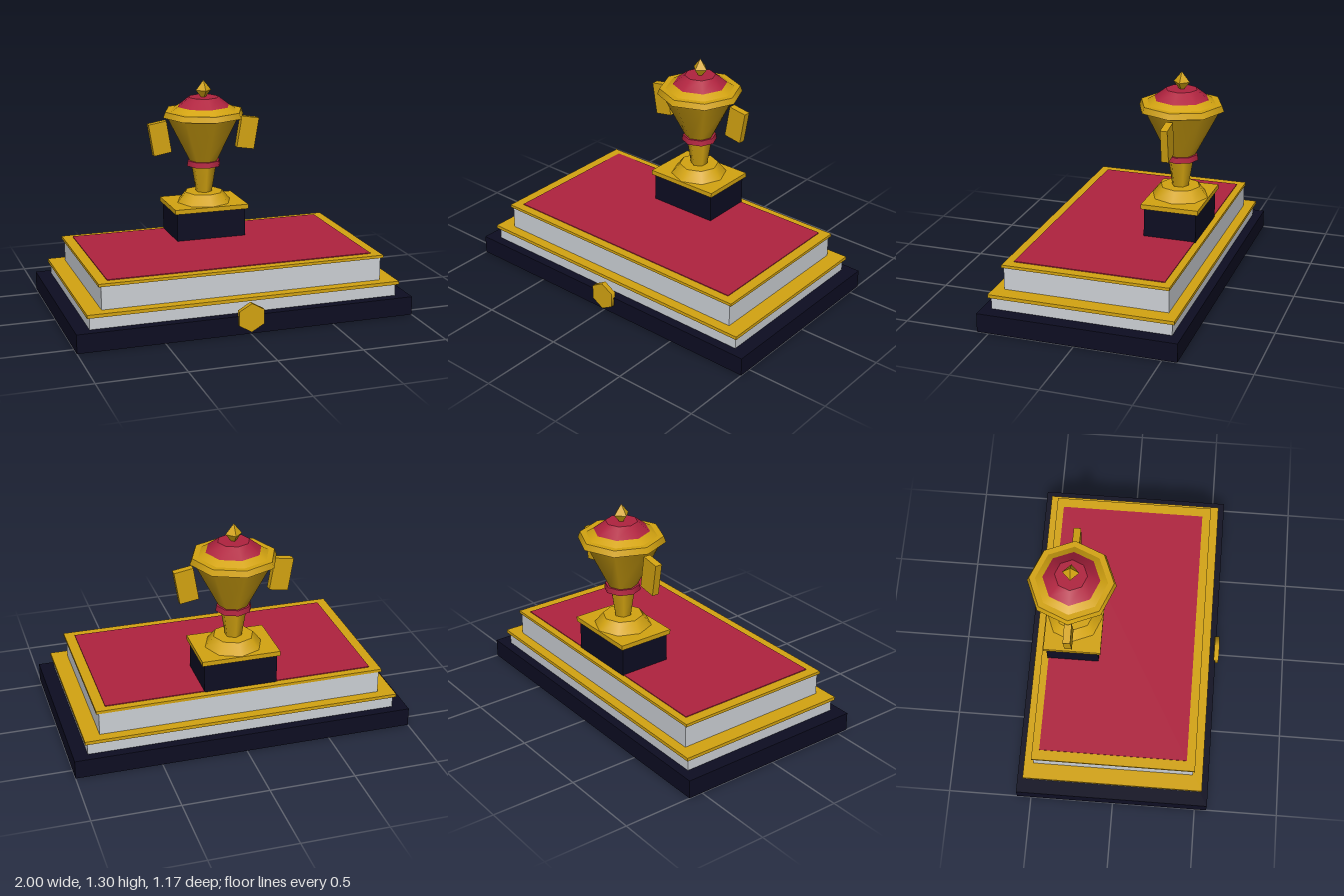
import * as THREE from 'three';

const mat = (name, color) => {
  const m = new THREE.MeshStandardMaterial({ color });
  m.name = name;
  return m;
};

export function createModel() {
  const gold = mat('gold', 0xd4a411);
  const navy = mat('navy', 0x0d0d22);
  const stone = mat('pale stone', 0xcdd1d6);
  const red = mat('crimson', 0xb0233f);
  const goldFlat = mat('faceted gold', 0xd4a411);
  goldFlat.flatShading = true;

  const model = new THREE.Group();
  model.name = 'trophyPlinth';

  const add = (parent, name, geometry, material, x, y, z) => {
    const mesh = new THREE.Mesh(geometry, material);
    mesh.name = name;
    mesh.position.set(x, y, z);
    parent.add(mesh);
    return mesh;
  };

  // Box given by full width, depth, bottom and top
  const slab = (parent, name, material, w, d, y0, y1, z) =>
    add(parent, name, new THREE.BoxGeometry(w, y1 - y0, d), material, 0, (y0 + y1) / 2, z);

  // Stepped platform
  const platform = new THREE.Group();
  platform.name = 'platform';
  model.add(platform);
  const zc = -0.007;
  slab(platform, 'base', navy, 2, 1.155, 0, 0.11, zc);
  slab(platform, 'lowerStep', stone, 1.83, 1.046, 0.11, 0.18, zc);
  slab(platform, 'lowerTrim', gold, 1.86, 1.076, 0.18, 0.2, zc);
  slab(platform, 'upperStep', stone, 1.67, 0.957, 0.2, 0.335, zc - 0.001);
  slab(platform, 'upperTrim', gold, 1.7, 0.97, 0.335, 0.352, zc);
  slab(platform, 'carpet', red, 1.58, 0.876, 0.35, 0.357, zc - 0.004);

  // Hexagonal badge on the front of the base
  const badge = add(platform, 'badge', new THREE.CylinderGeometry(0.085, 0.085, 0.03, 6), gold, 0, 0.1, 0.574);
  badge.rotation.x = Math.PI / 2;

  // Trophy
  const trophy = new THREE.Group();
  trophy.name = 'trophy';
  trophy.position.z = -0.3;
  model.add(trophy);
  slab(trophy, 'pedestal', navy, 0.43, 0.31, 0.352, 0.527, 0);
  slab(trophy, 'pedestalCap', gold, 0.46, 0.34, 0.527, 0.555, 0);

  // Turned parts: name, material, bottom radius, top radius, bottom, top, sides
  const turned = [
    ['foot', gold, 0.167, 0.117, 0.555, 0.617, 8],
    ['stem', gold, 0.05, 0.076, 0.617, 0.78, 6],
    ['collar', red, 0.106, 0.1, 0.78, 0.812, 8],
    ['bowl', gold, 0.086, 0.23, 0.81, 1.09, 8],
    ['rim', gold, 0.253, 0.24, 1.085, 1.12, 8],
    ['lidBase', gold, 0.205, 0.162, 1.12, 1.146, 8],
    ['lid', red, 0.162, 0.092, 1.146, 1.2, 8],
  ];
  for (const [name, material, r0, r1, y0, y1, sides] of turned) {
    add(trophy, name, new THREE.CylinderGeometry(r1, r0, y1 - y0, sides), material, 0, (y0 + y1) / 2, 0);
  }

  // Diamond finial
  const finial = add(trophy, 'finial', new THREE.OctahedronGeometry(0.048), goldFlat, 0, 1.241, 0);
  finial.scale.y = 1.27;

  // Tilted handle plates
  for (const side of [-1, 1]) {
    const handle = add(trophy, side > 0 ? 'leftHandle' : 'rightHandle',
      new THREE.BoxGeometry(0.112, 0.195, 0.042), gold, side * 0.278, 0.965, 0);
    handle.rotation.z = -side * 0.165;
  }

  return model;
}
